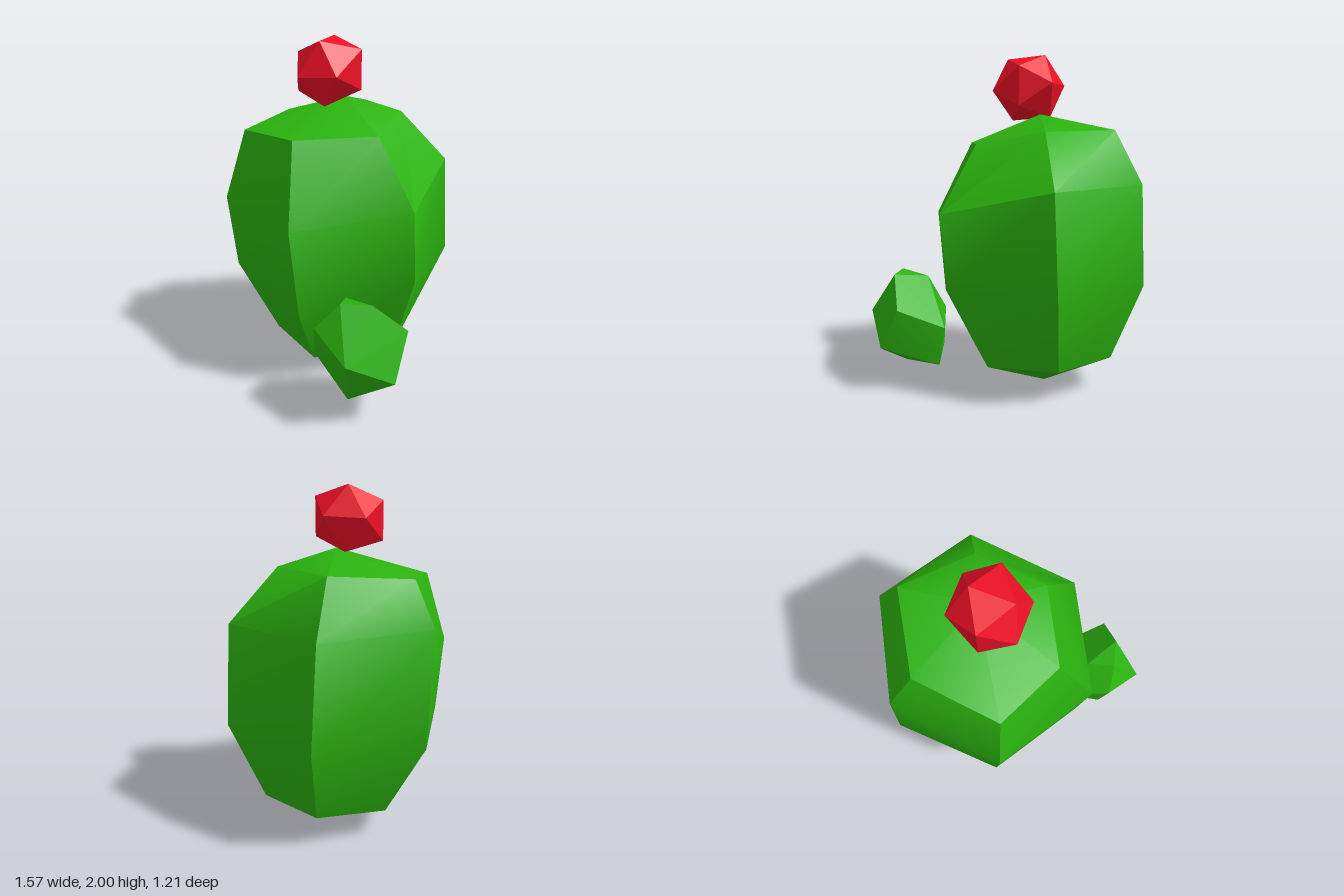
import * as THREE from 'three';
import { toCreasedNormals } from 'three/addons/utils/BufferGeometryUtils.js';
import { ConvexGeometry } from 'three/addons/geometries/ConvexGeometry.js';

const vec = (p) => new THREE.Vector3(...p);

// Closed loft through rings of equal length (bottom to top) with a point at each end
function loft(bottom, rings, top) {
  const n = rings[0].length;
  const points = [bottom, ...rings.flat(), top];
  const last = points.length - 1;
  const index = [];
  for (let i = 0; i < n; i++) {
    const j = (i + 1) % n;
    index.push(0, 1 + i, 1 + j);
    for (let r = 0; r < rings.length - 1; r++) {
      const a = 1 + r * n + i, b = 1 + r * n + j;
      index.push(a, a + n, b, b, a + n, b + n);
    }
    index.push(last - n + i, last, last - n + j);
  }
  const g = new THREE.BufferGeometry();
  g.setAttribute('position', new THREE.Float32BufferAttribute(points.flat(), 3));
  g.setIndex(index);
  return toCreasedNormals(g, 0.6);
}

export function createModel() {
  const group = new THREE.Group();
  const green = new THREE.MeshStandardMaterial({ color: 0x2bb30f });
  const red = new THREE.MeshStandardMaterial({ color: 0xee1026, flatShading: true });
  const add = (name, geometry, material) => {
    const mesh = new THREE.Mesh(geometry, material);
    mesh.name = name;
    group.add(mesh);
  };

  // Cactus body: uneven six-sided rings, from the left corner round the front
  const rings = [
    [[0.30, 0.18, -0.09], [0.08, 0.13, 0.36], [-0.32, 0.18, 0.36],
      [-0.55, 0.17, -0.08], [-0.35, 0.20, -0.45], [0.06, 0.20, -0.45]],
    [[0.53, 0.68, -0.03], [0.20, 0.50, 0.54], [-0.46, 0.62, 0.55],
      [-0.785, 0.61, -0.04], [-0.455, 0.66, -0.605], [0.20, 0.66, -0.605]],
    [[0.55, 1.10, 0.01], [0.21, 1.02, 0.60], [-0.47, 1.06, 0.60],
      [-0.775, 1.27, 0.01], [-0.46, 1.25, -0.57], [0.20, 1.25, -0.57]],
    [[0.28, 1.48, 0.04], [0.04, 1.47, 0.45], [-0.39, 1.47, 0.50],
      [-0.62, 1.515, 0.04], [-0.39, 1.56, -0.41], [0.06, 1.555, -0.32]],
  ];
  add('body', loft([-0.13, 0, -0.09], rings, [-0.13, 1.65, -0.04]), green);

  // Small side bud growing out of the body
  const bud = [
    [0.65, 0.70, 0.38], [0.53, 0.70, 0.50], [0.42, 0.66, 0.38], [0.73, 0.53, 0.20],
    [0.78, 0.28, 0.33], [0.70, 0.44, 0.60], [0.54, 0.12, 0.46], [0.39, 0.38, 0.57],
    [0.43, 0.55, 0.60], [0.26, 0.42, 0.44], [0.30, 0.20, 0.40], [0.47, 0.40, 0.11],
    [0.48, 0.16, 0.16],
  ];
  add('sideBud', toCreasedNormals(new ConvexGeometry(bud.map(vec)), 0.45), green);

  // Flower on top: a tilted icosahedron, half its corners mirrored through the centre
  const centre = vec([-0.13, 1.806, 0.072]);
  const half = [
    [-0.19, 2.0, -0.01], [-0.06, 1.98, 0.19], [-0.13, 1.78, 0.295],
    [0.03, 1.93, -0.04], [0.07, 1.79, 0.17], [-0.29, 1.91, 0.18],
  ].map(vec);
  const mirrored = half.map((p) => centre.clone().multiplyScalar(2).sub(p));
  add('flower', new ConvexGeometry([...half, ...mirrored]), red);

  return group;
}
